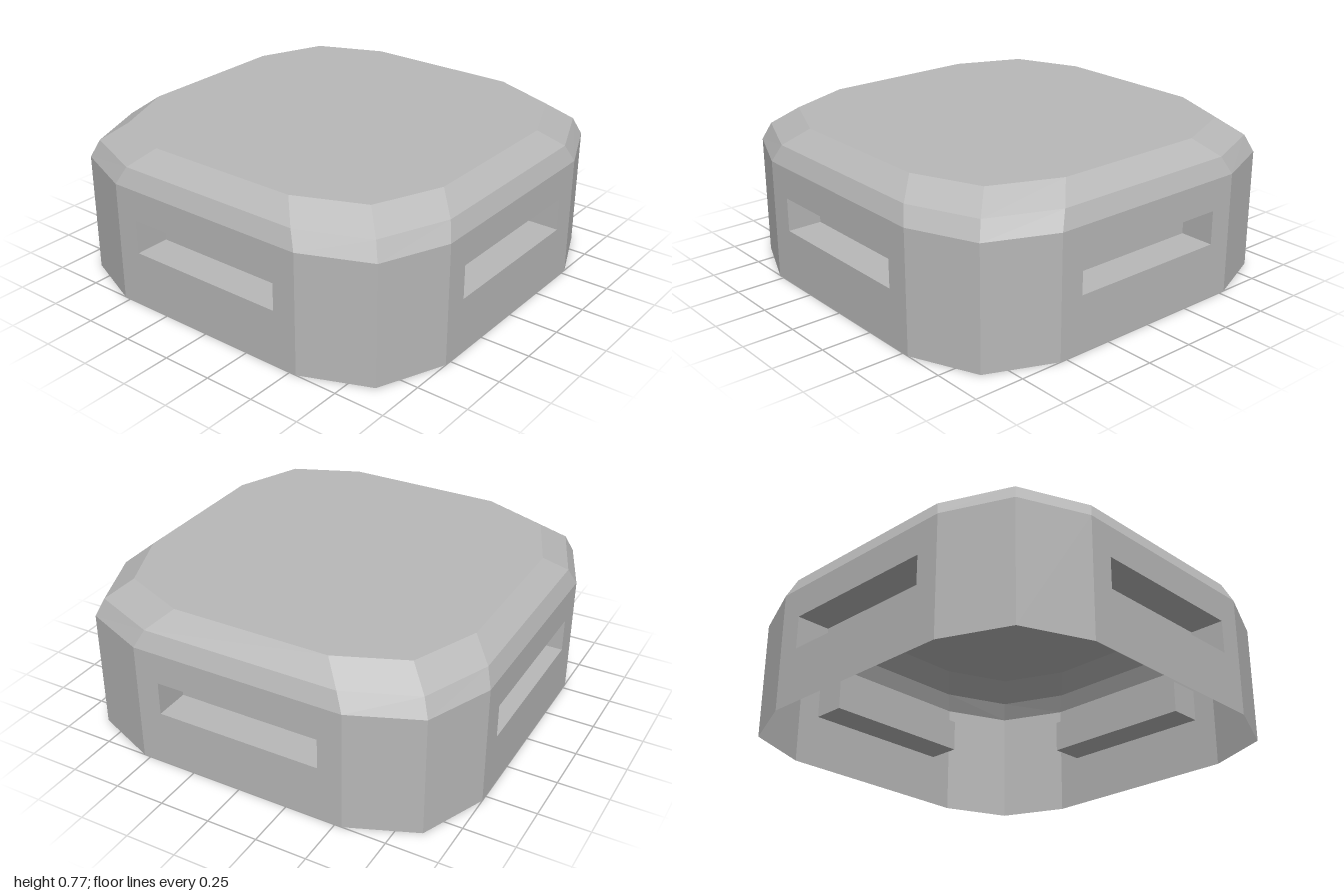
import * as THREE from 'three';

const shellGrey = new THREE.MeshStandardMaterial({ color: 0xb8b8b8, side: THREE.DoubleSide, flatShading: true });
shellGrey.name = 'shell grey';

// Twelve-sided outline: flat edge at distance r, edge half-length e, corner point at (c, c)
function ring(r, e, c, y) {
  const points = [];
  for (let side = 0; side < 4; side++) {
    const a = side * Math.PI / 2;
    for (const [x, z] of [[-e, r], [e, r], [c, c]]) {
      points.push(new THREE.Vector3(x * Math.cos(a) + z * Math.sin(a), y, z * Math.cos(a) - x * Math.sin(a)));
    }
  }
  return points;
}

// Faceted skin between two rows of points, the first row below the second
function loft(low, high, closed) {
  const points = [];
  const n = low.length;
  for (let i = 0; i < (closed ? n : n - 1); i++) {
    const j = (i + 1) % n;
    points.push(low[i], low[j], high[j], low[i], high[j], high[i]);
  }
  const geometry = new THREE.BufferGeometry().setFromPoints(points);
  geometry.computeVertexNormals();
  return geometry;
}

function part(name, geometry, parent) {
  const mesh = new THREE.Mesh(geometry, shellGrey);
  mesh.name = name;
  parent.add(mesh);
  return mesh;
}

export function createModel() {
  const model = new THREE.Group();
  model.name = 'hollow cover';

  const base = ring(1, 0.535, 0.863, 0);
  const shoulder = ring(1, 0.535, 0.863, 0.6);
  const bevel = ring(0.965, 0.492, 0.828, 0.685);
  const rim = ring(0.863, 0.395, 0.725, 0.77);

  // Two-step bevel and flat lid
  part('lowerBevel', loft(shoulder, bevel, true), model);
  part('upperBevel', loft(bevel, rim, true), model);
  const lid = new THREE.ShapeGeometry(new THREE.Shape(rim.map(p => new THREE.Vector2(p.x, -p.z))));
  lid.rotateX(-Math.PI / 2);
  part('lid', lid, model).position.y = 0.77;

  // Wall panel with a slot
  const w = 0.415, y0 = 0.278, y1 = 0.445, depth = 0.175;
  const slot = [[-w, y0], [w, y0], [w, y1], [-w, y1]];
  const panel = new THREE.Shape([[-0.535, 0], [0.535, 0], [0.535, 0.6], [-0.535, 0.6]]
    .map(p => new THREE.Vector2(...p)));
  panel.holes.push(new THREE.Path(slot.map(p => new THREE.Vector2(...p)).reverse()));
  const panelGeometry = new THREE.ShapeGeometry(panel);

  // Closed pocket behind the slot
  const mouth = slot.map(([x, y]) => new THREE.Vector3(x, y, 1));
  const inner = slot.map(([x, y]) => new THREE.Vector3(x, y, 1 - depth));
  const pocketGeometry = loft(inner, mouth, true);
  pocketGeometry.setIndex([...Array(24).keys()].reverse());
  const pocketSides = pocketGeometry.toNonIndexed();
  pocketSides.computeVertexNormals();
  const pocketBack = new THREE.PlaneGeometry(2 * w, y1 - y0);

  // Two facets turn each corner
  const cornerGeometry = loft(base.slice(1, 4), shoulder.slice(1, 4), false);

  // The same side repeats four times
  ['front', 'left', 'back', 'right'].forEach((name, i) => {
    const side = new THREE.Group();
    side.name = name + 'Side';
    side.rotation.y = i * Math.PI / 2;
    part('slottedWall', panelGeometry, side).position.z = 1;
    part('cornerWall', cornerGeometry, side);
    part('pocketSides', pocketSides, side);
    part('pocketBack', pocketBack, side).position.set(0, (y0 + y1) / 2, 1 - depth);
    model.add(side);
  });

  return model;
}
